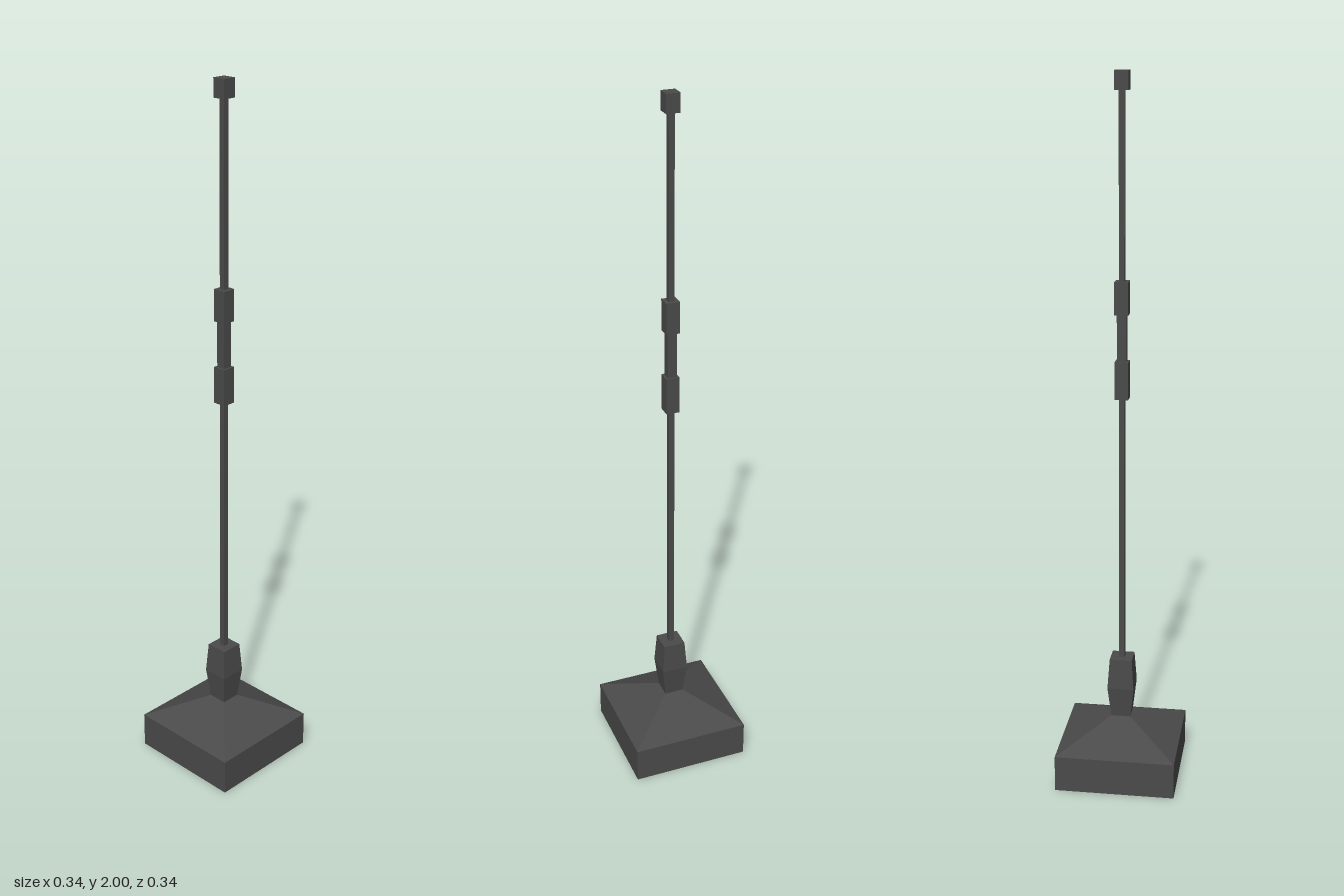
import * as THREE from 'three';

export function createModel() {
  const model = new THREE.Group();
  const darkGrey = new THREE.MeshStandardMaterial({ color: 0x4a4a4a, flatShading: true });
  darkGrey.name = 'darkGrey';

  // Square section between two heights, given half-widths at bottom and top
  function section(name, y0, y1, half0, half1 = half0, open = false) {
    const geo = new THREE.CylinderGeometry(half1 * Math.SQRT2, half0 * Math.SQRT2, y1 - y0, 4, 1, open);
    geo.rotateY(Math.PI / 4);
    geo.translate(0, (y0 + y1) / 2, 0);
    const mesh = new THREE.Mesh(geo, darkGrey);
    mesh.name = name;
    model.add(mesh);
  }

  // Weighted foot
  section('base', 0, 0.105, 0.171);
  section('baseSlope', 0.105, 0.175, 0.171, 0.028, true);

  // Bulging grip
  section('gripLower', 0.175, 0.265, 0.028, 0.038, true);
  section('gripUpper', 0.265, 0.353, 0.038, 0.032);

  // Thin pole with a thicker joint between two collars
  section('lowerPole', 0.353, 1.125, 0.008);
  section('lowerCollar', 1.125, 1.23, 0.019);
  section('joint', 1.23, 1.36, 0.013);
  section('upperCollar', 1.36, 1.45, 0.019);
  section('upperPole', 1.45, 1.95, 0.008);
  section('cap', 1.95, 2, 0.019);

  return model;
}
